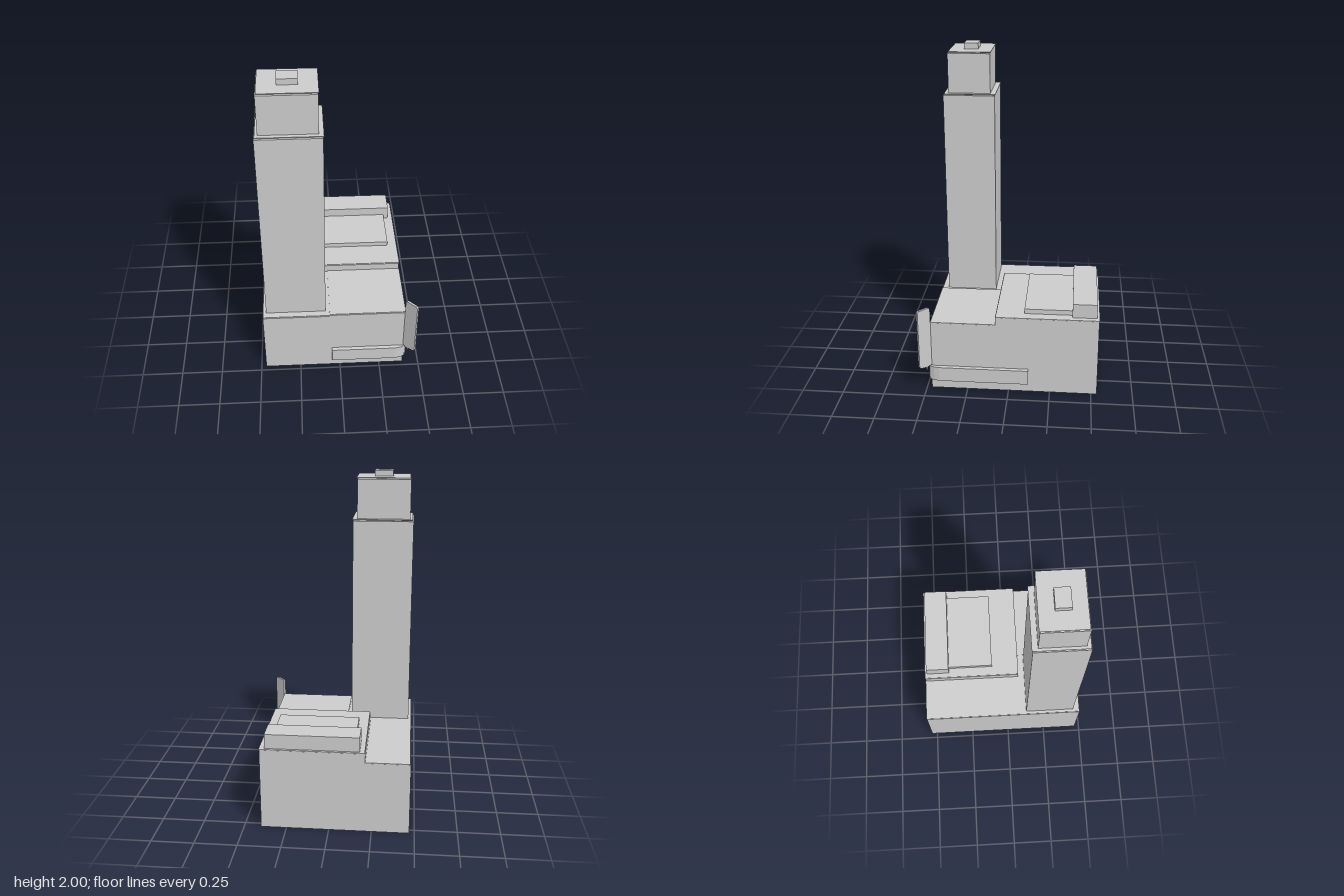
import * as THREE from 'three';

export function createModel() {
  const model = new THREE.Group();
  const stone = new THREE.MeshStandardMaterial({ color: 0xcccccc, side: THREE.DoubleSide });
  stone.name = 'pale grey';

  function add(name, geometry) {
    const mesh = new THREE.Mesh(geometry, stone);
    mesh.name = name;
    model.add(mesh);
    return mesh;
  }

  // Box given by its limits; an open one has no floor
  function block(name, [x0, x1], [y0, y1], [z0, z1], open = false) {
    const g = new THREE.BoxGeometry(x1 - x0, y1 - y0, z1 - z0);
    if (open) {
      const index = Array.from(g.index.array);
      index.splice(18, 6);
      g.setIndex(index);
      g.clearGroups();
    }
    g.translate((x0 + x1) / 2, (y0 + y1) / 2, (z0 + z1) / 2);
    return add(name, g);
  }

  // Thin roof sheet, shifted a little to the back left-hand side
  function roof(name, [x0, x1], y, [z0, z1], shift) {
    block(name, [x0 + shift, x1 + shift], [y - 0.004, y], [z0 - shift, z1 - shift]);
  }

  // Four hollow base volumes
  const rooms = [
    ['backHall', [-0.21, 0.4], 0.5, [-0.535, 0.08]],
    ['cornerHall', [-0.065, 0.4], 0.45, [0.08, 0.47]],
    ['towerBase', [-0.47, -0.065], 0.442, [0.08, 0.47]],
    ['sideHall', [-0.47, -0.21], 0.442, [-0.535, 0.08]],
  ];
  for (const [name, x, h, z] of rooms) {
    block(name, x, [0, h - 0.006], z, true);
    roof(name + 'Roof', x, h, z, 0.003);
  }
  // Fills the strip beside the corner hall, behind the tower base
  // Tower in two stages with a small plant room
  block('towerShaft', [-0.45, -0.087], [0.44, 1.71], [0.12, 0.428]);
  roof('towerShaftRoof', [-0.45, -0.087], 1.72, [0.12, 0.428], 0.004);
  block('towerCrown', [-0.43, -0.11], [1.715, 1.955], [0.148, 0.4]);
  roof('towerCrownRoof', [-0.43, -0.11], 1.965, [0.148, 0.4], 0.004);
  block('towerPlantRoom', [-0.322, -0.211], [1.962, 2], [0.228, 0.313]);

  // Stepped blocks on the back hall
  block('lowRoofBlock', [-0.148, 0.342], [0.498, 0.53], [-0.377, -0.092]);
  block('tallRoofBlock', [-0.178, 0.371], [0.498, 0.587], [-0.523, -0.377]);

  // Canopy wrapping the street corner, drawn in plan
  const plan = new THREE.Shape();
  plan.moveTo(-0.05, -0.47);
  plan.lineTo(-0.05, -0.494);
  plan.lineTo(0.35, -0.494);
  plan.lineTo(0.387, -0.486);
  plan.lineTo(0.408, -0.473);
  plan.lineTo(0.418, -0.452);
  plan.lineTo(0.425, -0.42);
  plan.lineTo(0.425, 0.12);
  plan.lineTo(0.4, 0.12);
  plan.lineTo(0.4, -0.47);
  const canopy = new THREE.ExtrudeGeometry(plan, { depth: 0.092, bevelEnabled: false });
  canopy.rotateX(-Math.PI / 2);
  canopy.translate(0, 0.062, 0);
  add('canopy', canopy);

  // Upright blade sign set diagonally on the corner
  const face = new THREE.Shape();
  face.moveTo(0, 0.165);
  face.lineTo(0.028, 0.158);
  face.lineTo(0.032, 0.135);
  face.lineTo(0.038, 0.158);
  face.lineTo(0.078, 0.165);
  face.lineTo(0.088, 0.175);
  face.lineTo(0.088, 0.54);
  face.lineTo(0.078, 0.55);
  face.lineTo(0.01, 0.55);
  face.lineTo(0, 0.54);
  const blade = new THREE.ExtrudeGeometry(face, { depth: 0.014, bevelEnabled: false });
  blade.translate(0, 0, -0.007);
  blade.rotateY(-Math.PI / 4);
  blade.translate(0.402, 0, 0.47);
  add('bladeSign', blade);

  return model;
}
